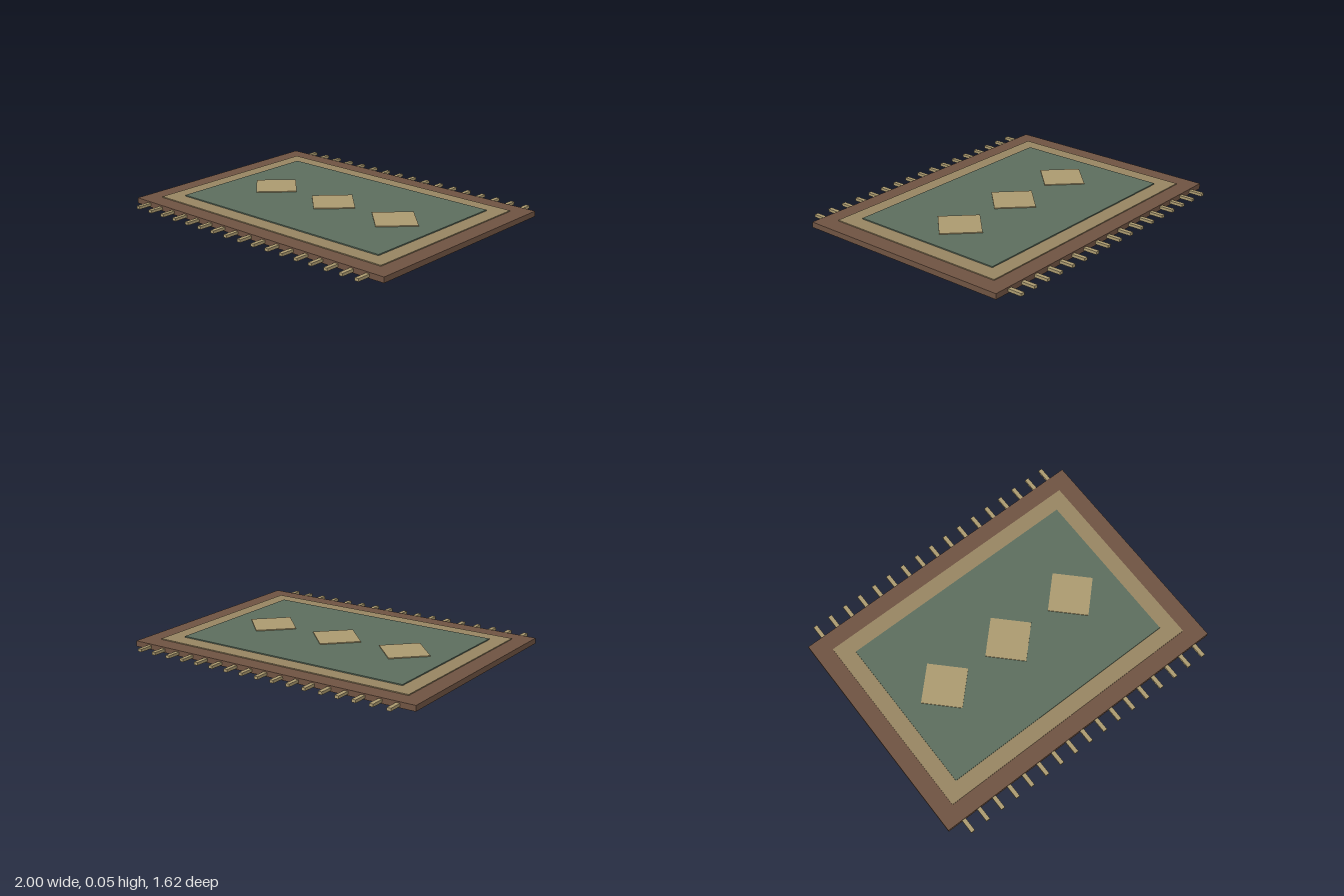
import * as THREE from 'three';

const mat = (color) => new THREE.MeshStandardMaterial({ color });

export function createModel() {
  const rug = new THREE.Group();
  rug.name = 'rug';
  const brown = mat(0x6f5342), tan = mat(0x978562), green = mat(0x5c6e5e), sand = mat(0xab9a70);

  // Box spanning y0..y1, centred on (x, z)
  function slab(name, material, w, d, y0, y1, x = 0, z = 0) {
    const mesh = new THREE.Mesh(new THREE.BoxGeometry(w, y1 - y0, d), material);
    mesh.position.set(x, (y0 + y1) / 2, z);
    mesh.name = name;
    rug.add(mesh);
    return mesh;
  }

  // Stacked layers: outer border, inner band, centre field
  slab('outerBorder', brown, 2, 1.44, 0, 0.035);
  slab('innerBand', tan, 1.78, 1.225, 0.02, 0.041);
  slab('centreField', green, 1.576, 1.022, 0.025, 0.048);

  // Row of three diamonds
  for (const x of [-0.489, 0, 0.489]) {
    slab('diamond', sand, 0.253, 0.253, 0.035, 0.054, x).rotation.y = Math.PI / 4;
  }

  // Fringe tassels along the front and back edges
  for (const side of [-1, 1]) {
    for (let i = -8; i <= 8; i++) {
      slab('fringeTassel', sand, 0.026, 0.11, 0.008, 0.026, i * 0.111, side * 0.755);
    }
  }
  return rug;
}
